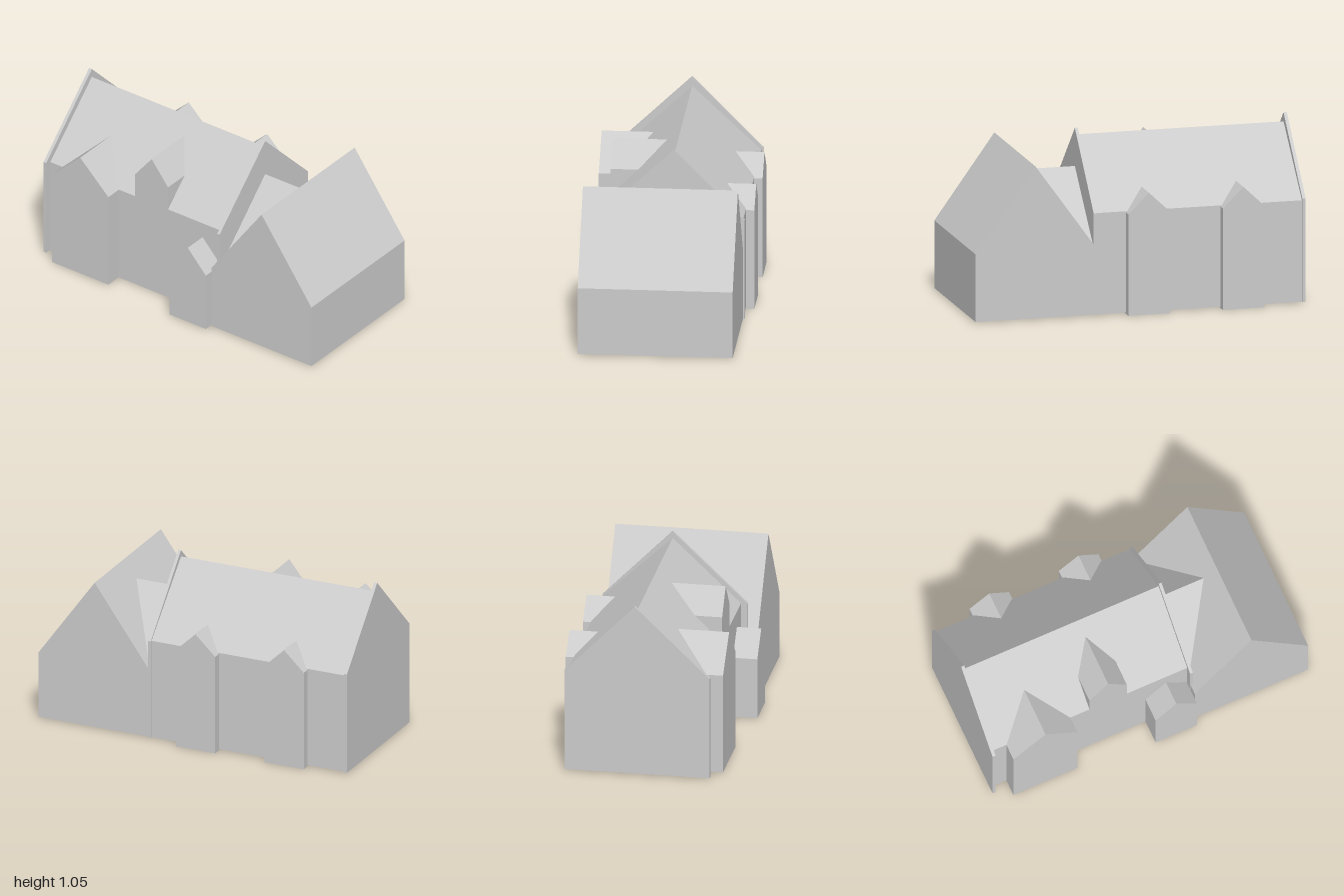
import * as THREE from 'three';

const material = new THREE.MeshStandardMaterial({ color: 0xcccccc, flatShading: true });

// Gabled solid: five-sided section (u0..u1 wide, peak at uc) extruded from a to b.
// axis 'z': section across x, ridge along z. axis 'x': section across z, ridge along x.
function gabled(name, axis, [u0, uc, u1], [base, eave, ridge], [a, b]) {
  const s = axis === 'x' ? -1 : 1; // turning the section onto x flips its width direction
  const shape = new THREE.Shape([
    [u0, base], [u1, base], [u1, eave], [uc, ridge], [u0, eave],
  ].map(([u, y]) => new THREE.Vector2(s * u, y)));
  const geometry = new THREE.ExtrudeGeometry(shape, { depth: b - a, bevelEnabled: false });
  geometry.translate(0, 0, a);
  if (axis === 'x') geometry.rotateY(Math.PI / 2);
  const mesh = new THREE.Mesh(geometry, material);
  mesh.name = name;
  return mesh;
}

export function createModel() {
  const model = new THREE.Group();
  model.name = 'building';
  const ground = 0.008;
  const peakX = 0.046;

  // Long hall with its ridge running front to back
  model.add(gabled('mainHall', 'z', [-0.36, peakX, 0.452], [ground, 0.617, 1.0], [-0.985, 0.275]));

  // Raised parapet gables at both ends of the hall
  model.add(gabled('backParapet', 'z', [-0.4, peakX, 0.462], [ground, 0.63, 1.055], [-1, -0.98]));
  model.add(gabled('frontParapet', 'z', [-0.4, peakX, 0.462], [ground, 0.617, 1.04], [0.268, 0.286]));

  // Cross wing at the front, ridge running side to side
  model.add(gabled('frontWing', 'x', [0.272, 0.636, 1], [ground, 0.414, 0.92], [-0.458, 0.452]));

  // Roof joining the hall to the front wing
  model.add(gabled('linkRoof', 'z', [-0.355, peakX, 0.447], [0.2, 0.425, 0.81], [0.28, 0.557]));

  // Two gabled bays on the left wall, standing on the ground
  for (const z of [-0.04, -0.613]) {
    model.add(gabled('leftBay', 'x', [z - 0.127, z, z + 0.127], [0, 0.61, 0.73], [0.28, 0.502]));
  }

  // Right side: large bay, roof dormer and low porch
  model.add(gabled('rightBay', 'x', [-0.893, -0.687, -0.481], [ground, 0.615, 0.81], [-0.46, -0.156]));
  model.add(gabled('rightDormer', 'x', [-0.36, -0.24, -0.12], [0.617, 0.77, 0.92], [-0.36, -0.039]));
  model.add(gabled('rightPorch', 'x', [0, 0.132, 0.264], [ground, 0.378, 0.521], [-0.505, -0.34]));

  return model;
}
